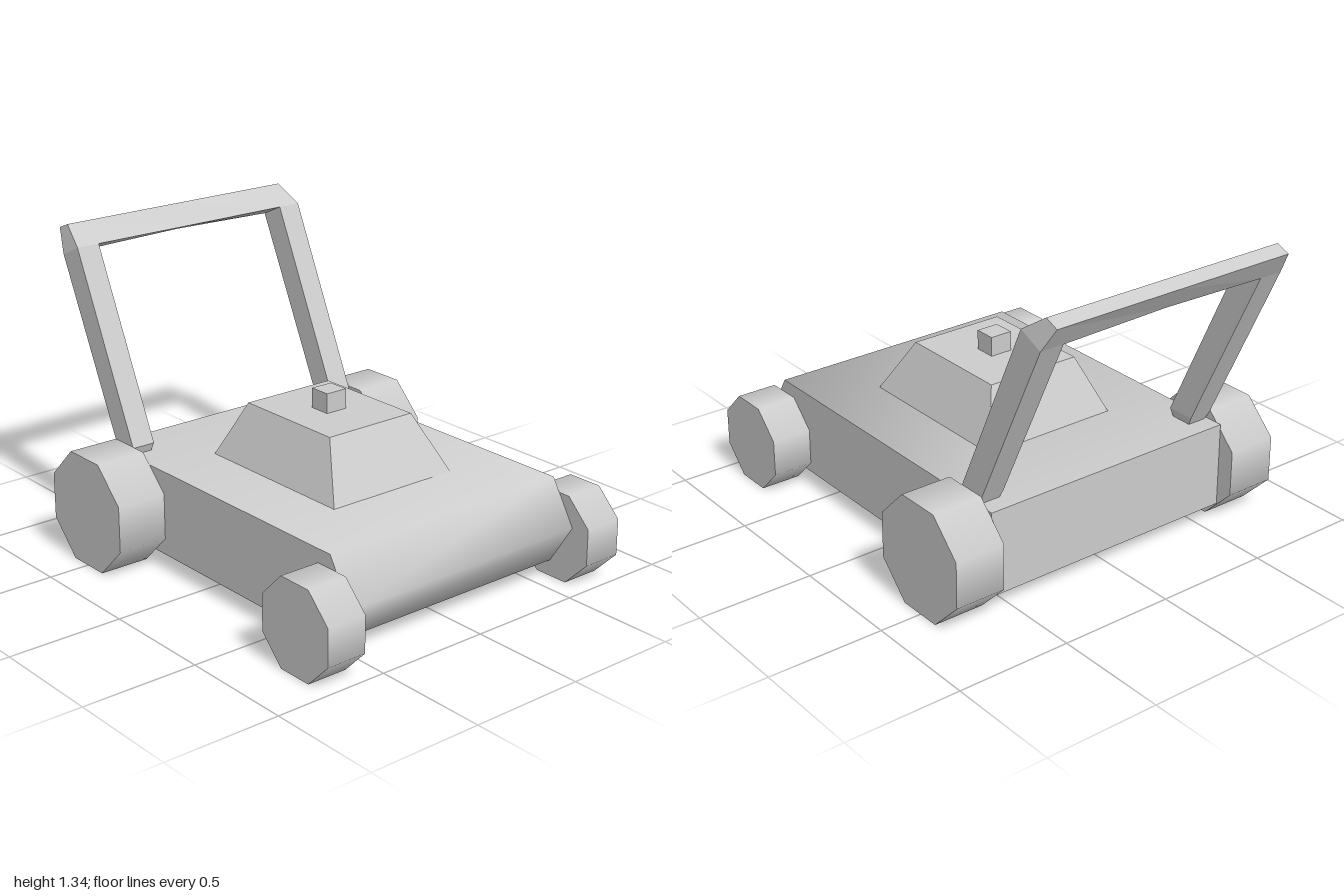
import * as THREE from 'three';
import { toCreasedNormals } from 'three/addons/utils/BufferGeometryUtils.js';

const grey = new THREE.MeshStandardMaterial({ color: 0xcccccc });
grey.name = 'grey';

function part(name, geometry, x = 0, y = 0, z = 0) {
  const mesh = new THREE.Mesh(geometry, grey);
  mesh.name = name;
  mesh.position.set(x, y, z);
  return mesh;
}

// Mower deck: side profile (z, y) extruded across the width, with a soft rounded nose
function deckGeometry() {
  const profile = [[-0.66, 0.07], [0.8, 0.07], [0.915, 0.25], [0.8, 0.44], [-0.66, 0.44]];
  const shape = new THREE.Shape(profile.map(([z, y]) => new THREE.Vector2(z, y)));
  const geometry = new THREE.ExtrudeGeometry(shape, { depth: 1.184, bevelEnabled: false });
  geometry.translate(0, 0, -0.592).rotateY(-Math.PI / 2);
  return toCreasedNormals(geometry, THREE.MathUtils.degToRad(65));
}

// Engine cover: box whose top is drawn in
function coverGeometry() {
  const geometry = new THREE.BoxGeometry(0.62, 0.235, 0.77).toNonIndexed();
  const p = geometry.attributes.position;
  for (let i = 0; i < p.count; i++) {
    if (p.getY(i) > 0) p.setXYZ(i, p.getX(i) * 0.695, p.getY(i), p.getZ(i) * 0.675 - 0.015);
  }
  geometry.computeVertexNormals();
  return geometry;
}

// Eight-sided wheel lying on its axle, flat side down
function wheelGeometry(apothem, width) {
  const radius = apothem / Math.cos(Math.PI / 8);
  return new THREE.CylinderGeometry(radius, radius, width, 8, 1, false, Math.PI / 8).rotateZ(Math.PI / 2);
}

// Push handle: four-cornered sections (front outer, front inner, back inner, back outer)
// from the foot of one leg to the middle of the bar, then mirrored down the other leg
function handleGeometry() {
  const half = [
    [[0.57, 0.42, -0.49], [0.495, 0.42, -0.49], [0.495, 0.42, -0.57], [0.57, 0.42, -0.57]],
    [[0.59, 0.475, -0.47], [0.485, 0.475, -0.47], [0.485, 0.475, -0.595], [0.59, 0.475, -0.595]],
    [[0.59, 1.26, -0.83], [0.485, 1.26, -0.83], [0.485, 1.21, -0.94], [0.59, 1.21, -0.94]],
    [[0.565, 1.335, -0.94], [0.485, 1.26, -0.83], [0.485, 1.21, -0.94], [0.565, 1.31, -1]],
    [[0, 1.335, -0.94], [0, 1.25, -0.86], [0, 1.22, -0.94], [0, 1.31, -1]],
  ];
  const mirrored = half.slice(0, -1).reverse().map(s => s.map(([x, y, z]) => [-x, y, z]));
  const sections = [...half, ...mirrored];
  const positions = [];
  const quad = (a, b, c, d) => positions.push(...a, ...b, ...c, ...a, ...c, ...d);
  for (let i = 0; i < sections.length - 1; i++) {
    const s = sections[i], t = sections[i + 1];
    for (let k = 0; k < 4; k++) {
      const n = (k + 1) % 4;
      quad(s[n], s[k], t[k], t[n]);
    }
  }
  const first = sections[0], last = sections[sections.length - 1];
  quad(...first);
  quad(last[3], last[2], last[1], last[0]);
  const geometry = new THREE.BufferGeometry();
  geometry.setAttribute('position', new THREE.Float32BufferAttribute(positions, 3));
  geometry.computeVertexNormals();
  return geometry;
}

export function createModel() {
  const group = new THREE.Group();
  group.name = 'lawnMower';
  group.add(
    part('deck', deckGeometry()),
    part('engineCover', coverGeometry(), 0, 0.5575, 0.105),
    part('fuelCap', new THREE.BoxGeometry(0.1, 0.09, 0.095), 0, 0.715, 0.09),
    part('handle', handleGeometry()),
  );
  const frontWheel = wheelGeometry(0.191, 0.178);
  const rearWheel = wheelGeometry(0.241, 0.224);
  for (const [side, s] of [['left', 1], ['right', -1]]) {
    group.add(
      part(side + 'FrontWheel', frontWheel, s * 0.681, 0.191, 0.809),
      part(side + 'RearWheel', rearWheel, s * 0.704, 0.241, -0.495),
    );
  }
  return group;
}
